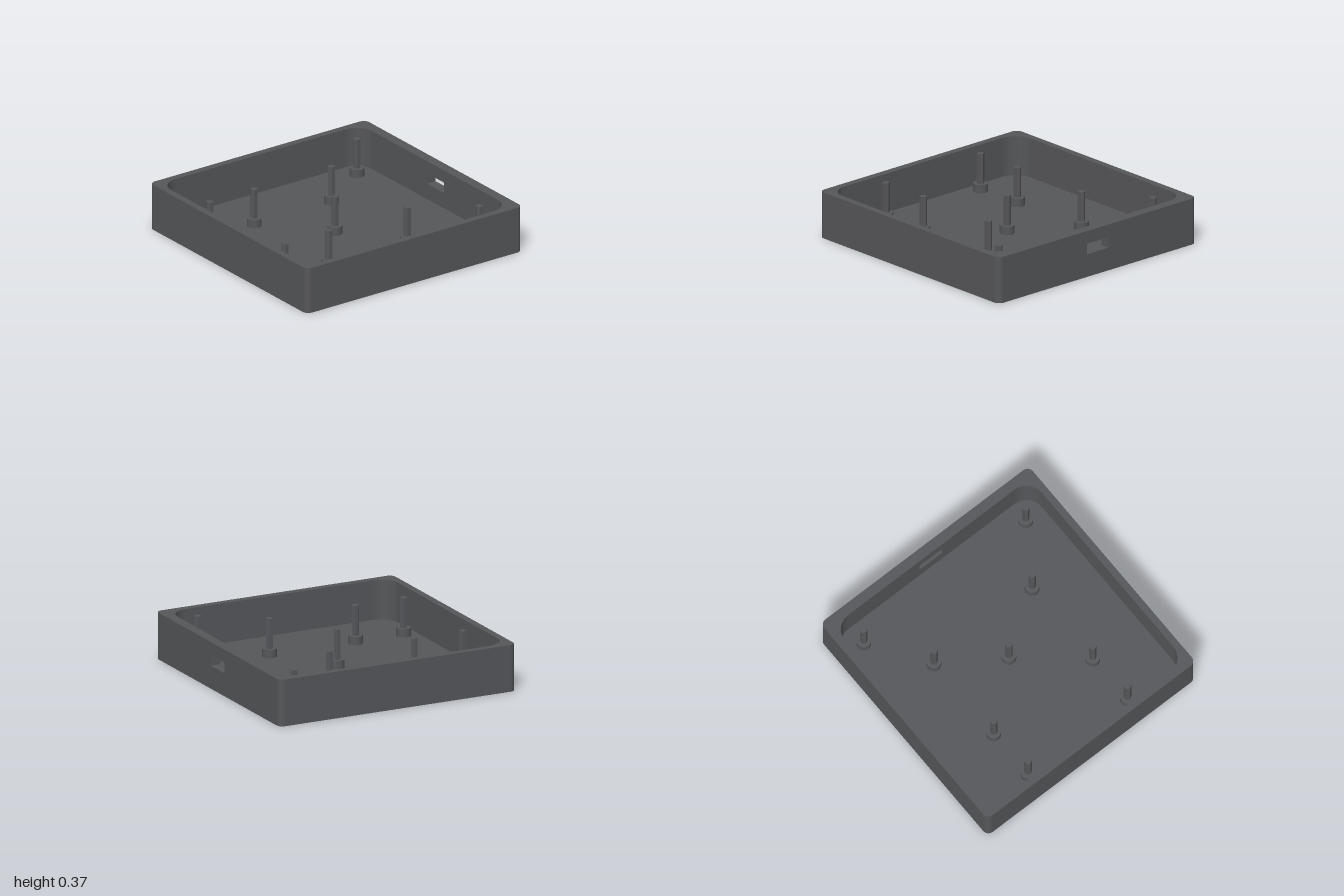
import * as THREE from 'three';

const material = new THREE.MeshStandardMaterial({ color: 0x555659 });

// Rounded rectangle in plan (shape y = model z), starting at the back middle.
// A gap leaves the middle of the back side open.
function plan(x, zBack, zFront, r, gap = 0) {
  const p = new THREE.Path();
  p.moveTo(gap / 2, zBack);
  p.lineTo(x - r, zBack);
  p.absarc(x - r, zBack + r, r, -Math.PI / 2, 0);
  p.absarc(x - r, zFront - r, r, 0, Math.PI / 2);
  p.absarc(-x + r, zFront - r, r, Math.PI / 2, Math.PI);
  p.absarc(-x + r, zBack + r, r, Math.PI, Math.PI * 1.5);
  p.lineTo(-gap / 2, zBack);
  return p.getPoints(8);
}
const outer = (gap) => plan(1, -1, 1, 0.05, gap);
const inner = (gap) => plan(0.945, -0.92, 0.945, 0.15, gap);

// Toothed outline with trapezoid teeth
function gearOutline(cx, cz, r, teeth) {
  const root = r * 0.82, pts = [];
  for (let i = 0; i < teeth; i++) {
    for (const [f, rad] of [[0, root], [0.35, root], [0.5, r], [0.85, r]]) {
      const a = ((i + f) / teeth) * Math.PI * 2;
      pts.push(new THREE.Vector2(cx + rad * Math.cos(a), cz + rad * Math.sin(a)));
    }
  }
  return pts;
}

export function createModel() {
  const model = new THREE.Group();

  function add(name, geometry, x = 0, y = 0, z = 0, parent = model) {
    const mesh = new THREE.Mesh(geometry, material);
    mesh.name = name;
    mesh.position.set(x, y, z);
    parent.add(mesh);
    return mesh;
  }

  // Extrude a plan shape between two heights
  function slab(name, shape, y0, y1, parent = model) {
    const g = new THREE.ExtrudeGeometry(shape, { depth: y1 - y0, bevelEnabled: false, curveSegments: 24 });
    g.rotateX(Math.PI / 2);
    return add(name, g, 0, y1, 0, parent);
  }

  const floorTop = 0.055, engraving = 0.013, rim = 0.365;
  const slotBottom = 0.18, slotTop = 0.265, slotWidth = 0.22;

  // Underside with engraved gears: x, z, outer radius, hub radius, teeth
  const gears = [
    [0.53, -0.40, 0.20, 0.14, 16], [0.43, 0.16, 0.32, 0.22, 20],
    [0.22, -0.26, 0.12, 0.08, 12], [0.01, -0.56, 0.20, 0.07, 12],
    [-0.08, -0.08, 0.19, 0.09, 14], [-0.55, -0.74, 0.22, 0.12, 16],
    [-0.30, -0.52, 0.08, 0.04, 10], [-0.47, 0.07, 0.17, 0.09, 14],
    [-0.59, -0.17, 0.09, 0.06, 12], [-0.12, -0.85, 0.10, 0.05, 10],
  ];
  const underside = new THREE.Shape(outer());
  const hubs = new THREE.Group();
  hubs.name = 'gearHubs';
  model.add(hubs);
  for (const [x, z, r, hub, teeth] of gears) {
    underside.holes.push(new THREE.Path(gearOutline(x, z, r, teeth)));
    slab('gearHub', new THREE.Shape().absarc(x, z, hub, 0, Math.PI * 2), 0, engraving, hubs);
  }
  slab('underside', underside, 0, engraving);
  slab('floor', new THREE.Shape(outer()), engraving, floorTop);

  // Walls, with a cable slot through the back
  const ring = new THREE.Shape(outer());
  ring.holes.push(new THREE.Path(inner()));
  const openRing = new THREE.Shape([...outer(slotWidth), ...inner(slotWidth).reverse()]);
  slab('lowerWall', ring, floorTop, slotBottom);
  slab('slottedWall', openRing, slotBottom, slotTop);
  slab('upperWall', ring, slotTop, rim);

  // Standoffs: a round collar carrying a thin six-sided pin
  const collar = new THREE.CylinderGeometry(0.056, 0.056, 0.065, 24);
  const pin = new THREE.CylinderGeometry(0.029, 0.029, 0.3, 6).toNonIndexed();
  pin.computeVertexNormals();
  const spots = [
    [-0.775, -0.76], [0.78, -0.76], [-0.47, -0.30], [0.48, -0.31], [0, 0.01],
    [-0.47, 0.415], [0.48, 0.415], [-0.47, 0.825], [0.485, 0.825],
  ];
  for (const [x, z] of spots) {
    const standoff = new THREE.Group();
    standoff.name = 'standoff';
    standoff.position.set(x, floorTop, z);
    add('collar', collar, 0, 0.0325, 0, standoff);
    add('pin', pin, 0, 0.15, 0, standoff);
    model.add(standoff);
  }

  return model;
}
